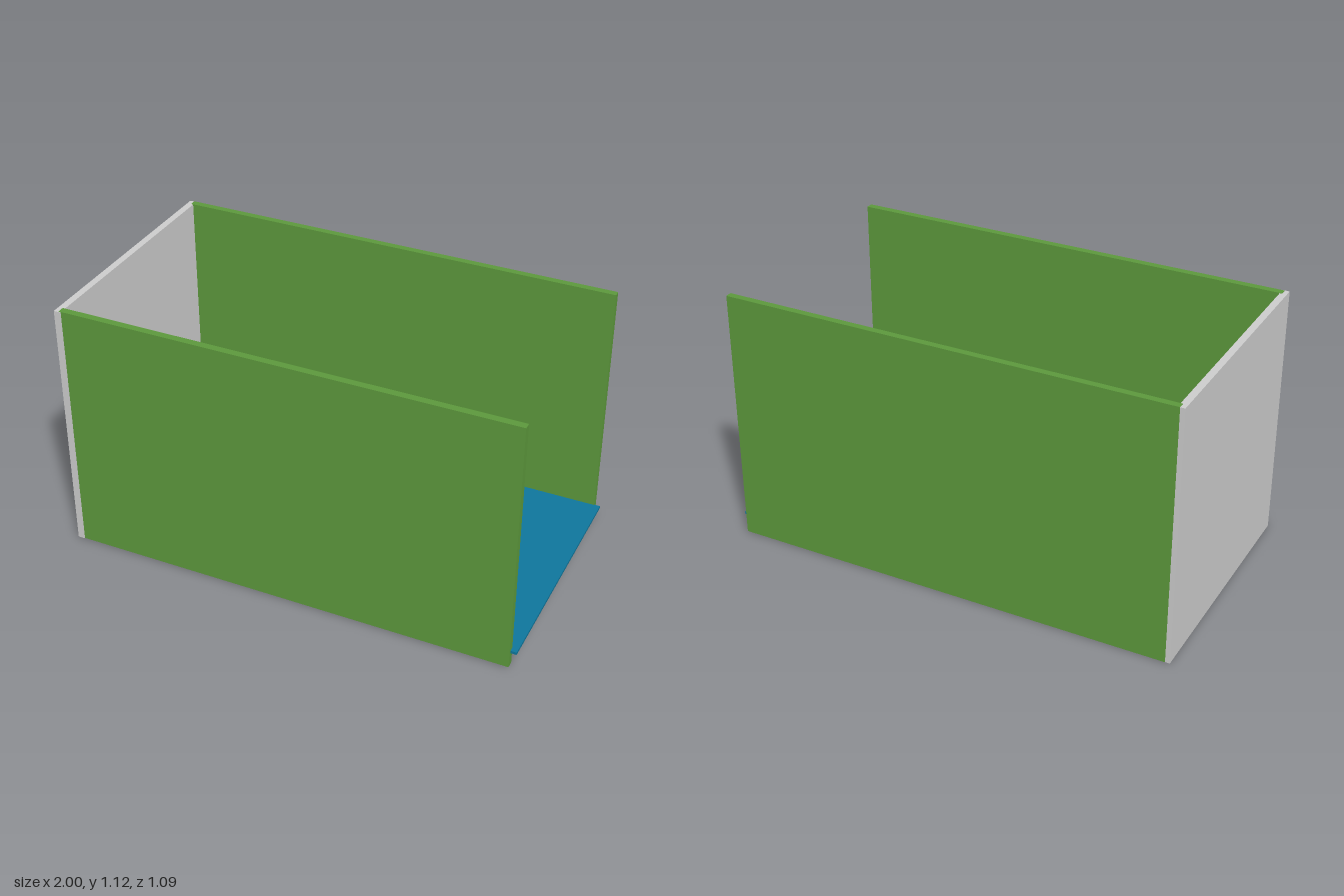
import * as THREE from 'three';

// Box panel given by its min and max corners
function panel(name, color, min, max) {
  const size = max.map((v, i) => v - min[i]);
  const mesh = new THREE.Mesh(
    new THREE.BoxGeometry(...size),
    new THREE.MeshStandardMaterial({ color })
  );
  mesh.position.set(...max.map((v, i) => (v + min[i]) / 2));
  mesh.name = name;
  return mesh;
}

export function createModel() {
  const group = new THREE.Group();
  group.name = 'openBox';
  const green = 0x5c983c, blue = 0x0e769c, grey = 0xcccccc;

  // Upright end wall closing the right side
  group.add(panel('endWall', grey, [-1, 0, -0.546], [-0.97, 1.121, 0.546]));

  // Long side walls, lapping into the end wall
  group.add(panel('frontWall', green, [-0.98, 0, 0.512], [0.974, 1.122, 0.543]));
  group.add(panel('backWall', green, [-0.98, 0, -0.547], [0.974, 1.122, -0.518]));

  // Thin raised floor, poking out at the open end
  group.add(panel('floor', blue, [-0.957, 0.065, -0.521], [1, 0.077, 0.533]));

  return group;
}
